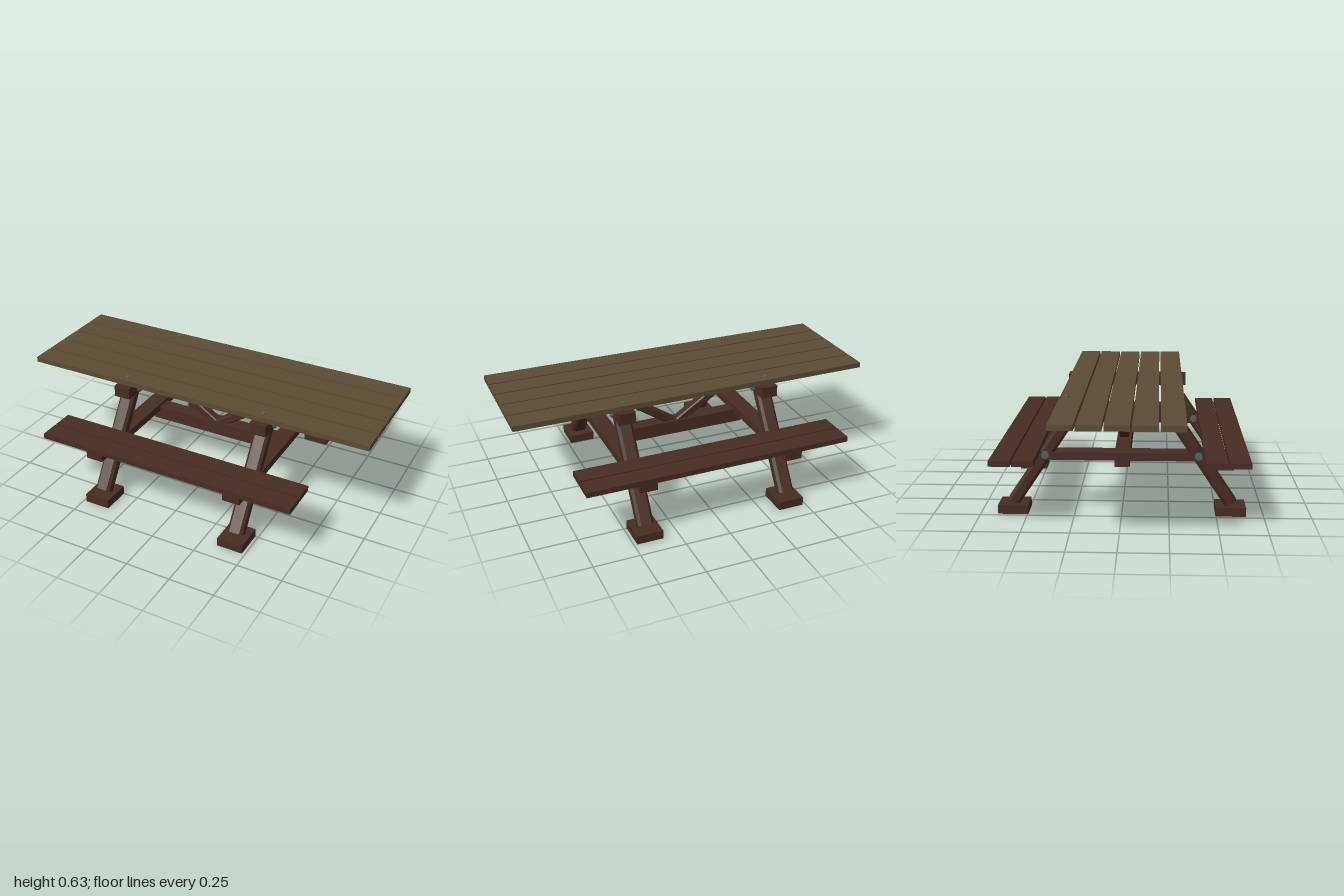
import * as THREE from 'three';

export function createModel() {
  const model = new THREE.Group();
  model.name = 'picnicTable';

  const mat = (name, color) => {
    const m = new THREE.MeshStandardMaterial({ color });
    m.name = name;
    return m;
  };
  const topWood = mat('olive wood', 0x5c4c35);
  const darkWood = mat('dark brown wood', 0x472d23);
  const metal = mat('grey metal', 0x586165);

  const add = (name, geometry, material, x, y, z) => {
    const mesh = new THREE.Mesh(geometry, material);
    mesh.name = name;
    mesh.position.set(x, y, z);
    model.add(mesh);
    return mesh;
  };
  // Box given by its size, its bottom height and its centre in plan
  const board = (name, w, h, d, material, x, bottom, z) =>
    add(name, new THREE.BoxGeometry(w, h, d), material, x, bottom + h / 2, z);

  // Straight timber with chamfered long edges, running from a to b
  const timber = (name, w, d, c, a, b) => {
    const x = w / 2, y = d / 2;
    const shape = new THREE.Shape([
      [x, -y + c], [x, y - c], [x - c, y], [-x + c, y],
      [-x, y - c], [-x, -y + c], [-x + c, -y], [x - c, -y],
    ].map(([u, v]) => new THREE.Vector2(u, v)));
    const length = a.distanceTo(b);
    const geometry = new THREE.ExtrudeGeometry(shape, { depth: length, bevelEnabled: false });
    const mesh = add(name, geometry, darkWood, a.x, a.y, a.z);
    mesh.lookAt(b);
    return mesh;
  };

  // Table top planks
  for (let i = -2; i <= 2; i++) {
    board('tablePlank', 2, 0.029, 0.122, topWood, 0, 0.595, i * 0.1315);
  }

  // Bench planks
  for (const s of [-1, 1]) {
    for (const z of [0.482, 0.599]) {
      board('seatPlank', 1.472, 0.029, 0.108, darkWood, 0, 0.339, s * z);
    }
  }

  // Central stretcher
  board('stretcher', 0.8, 0.078, 0.08, darkWood, 0, 0.242, 0);

  for (const sx of [-1, 1]) {
    const x = sx * 0.411;

    // Cross beams carrying the top and the benches
    board('topBeam', 0.092, 0.064, 0.704, darkWood, x, 0.529, 0);
    board('seatBeam', 0.096, 0.042, 1.296, darkWood, x, 0.295, 0);

    // Diagonal brace from the stretcher to the top beam
    timber('brace', 0.052, 0.046, 0.006,
      new THREE.Vector3(sx * 0.01, 0.303, 0), new THREE.Vector3(sx * 0.4, 0.56, 0));

    for (const sz of [-1, 1]) {
      // Splayed leg and its foot block
      timber('leg', 0.086, 0.066, 0.014,
        new THREE.Vector3(x, 0.055, sz * 0.58), new THREE.Vector3(x, 0.57, sz * 0.237));
      board('foot', 0.144, 0.048, 0.16, darkWood, x, 0, sz * 0.577);

      // Through bolts at both joints
      for (const [y, z] of [[0.552, 0.247], [0.322, 0.403]]) {
        const bolt = add('bolt', new THREE.CylinderGeometry(0.02, 0.02, 0.112, 16), metal, x, y, sz * z);
        bolt.rotation.z = Math.PI / 2;
      }

      // Screw head on the table top
      add('screw', new THREE.CylinderGeometry(0.01, 0.01, 0.012, 12), metal, x, 0.626, sz * 0.287);
    }
  }

  return model;
}
